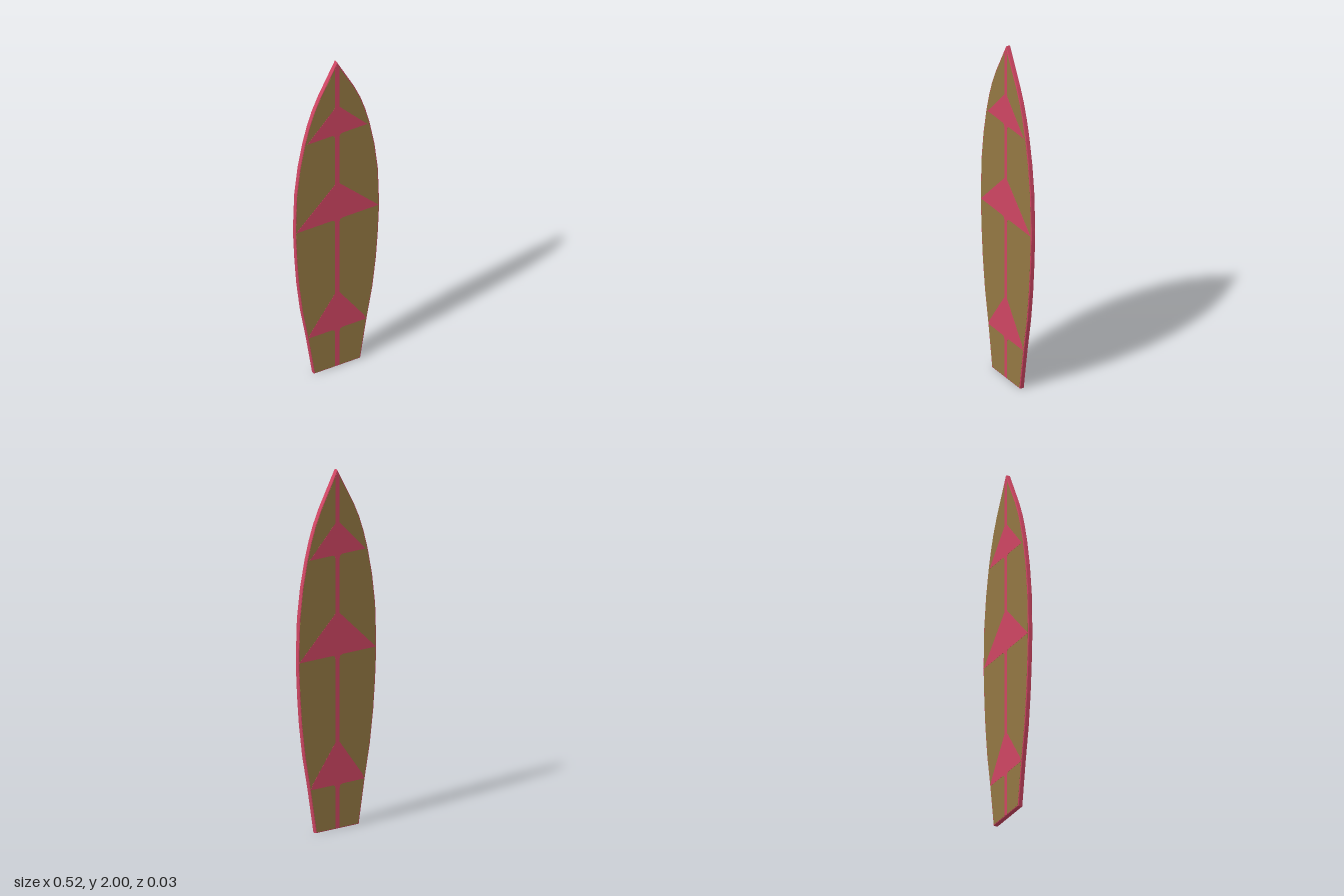
import * as THREE from 'three';

// Half outline of the board, [half width, height] from tail to nose
const OUTLINE = [
  [0.143, 0], [0.183, 0.25], [0.218, 0.44], [0.24, 0.62], [0.252, 0.78], [0.259, 0.93], [0.26, 1.0],
  [0.253, 1.21], [0.232, 1.38], [0.202, 1.53], [0.175, 1.63], [0.146, 1.715], [0.108, 1.8], [0, 2],
];
const HALF = 0.0142;   // half thickness
const SKIN = 0.0006;   // thickness of each painted layer

// Closed shape mirrored across x = 0 from its right half, listed bottom to top
function mirroredShape(half) {
  const right = half.map(([x, y]) => new THREE.Vector2(x, y));
  const left = half.filter(([x]) => x > 0).reverse().map(([x, y]) => new THREE.Vector2(-x, y));
  return new THREE.Shape([...right, ...left]);
}

export function createModel() {
  const group = new THREE.Group();
  const pink = new THREE.MeshStandardMaterial({ color: 0xd04663 });
  pink.name = 'rose pink';
  const tan = new THREE.MeshStandardMaterial({ color: 0x947843 });
  tan.name = 'olive tan';

  function slab(name, half, halfDepth, material, bevel = 0) {
    const depth = 2 * (halfDepth - bevel);
    const geometry = new THREE.ExtrudeGeometry(mirroredShape(half), {
      depth, bevelEnabled: bevel > 0, bevelThickness: bevel, bevelSize: bevel,
      bevelOffset: -bevel, bevelSegments: 2,
    });
    geometry.translate(0, 0, -depth / 2);
    const mesh = new THREE.Mesh(geometry, material);
    mesh.name = name;
    group.add(mesh);
  }

  // Core with rounded rails
  slab('boardCore', OUTLINE, HALF - 2 * SKIN, pink, 0.004);

  // Deck and bottom panels, set in slightly from the rails
  const deck = OUTLINE.map(([x, y], i) => [
    Math.max(0, x - 0.0055), i === 0 ? 0.005 : i === OUTLINE.length - 1 ? 1.985 : y,
  ]);
  slab('deckPanels', deck, HALF - SKIN, tan);

  // Centre stringer running from tail to nose
  slab('stringer', [[0.014, 0.005], [0.014, 1.955], [0, 1.985]], HALF, pink);

  // Arrowhead stripes: [name, bottom edge, top, half span, shoulder half width, shoulder height]
  const arrows = [
    ['tailArrow', 0.247, 0.49, 0.176, 0.166, 0.275],
    ['middleArrow', 0.968, 1.208, 0.256, 0.222, 1.0],
    ['noseArrow', 1.527, 1.712, 0.186, 0.163, 1.55],
  ];
  for (const [name, base, top, span, shoulder, shoulderY] of arrows) {
    slab(name, [
      [0.014, base - 0.02], [0.018, base - 0.006], [0.032, base],
      [span, base], [shoulder, shoulderY], [0.014, top - 0.008], [0.01, top],
    ], HALF, pink);
  }
  return group;
}
